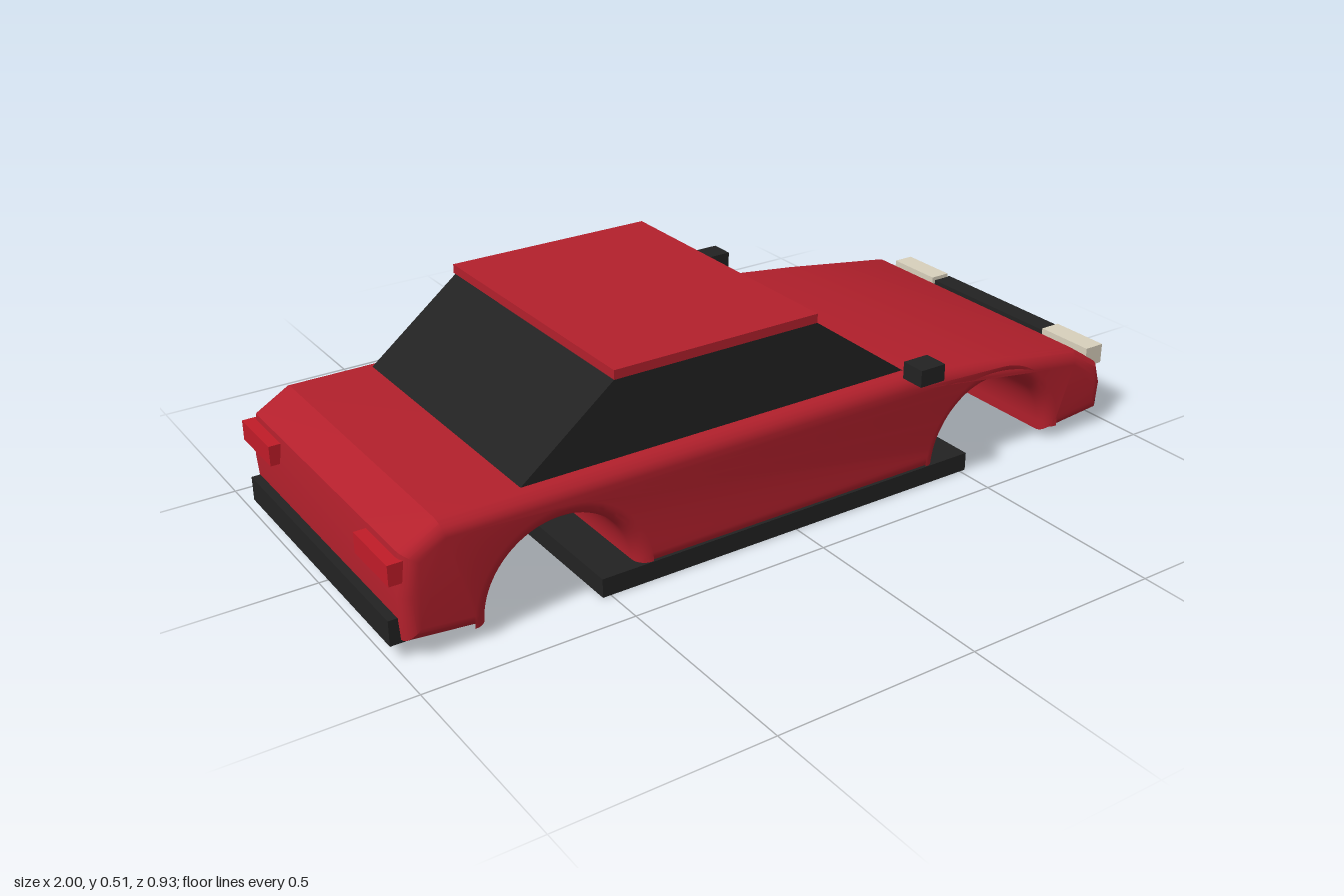
import * as THREE from 'three';
import { toCreasedNormals } from 'three/addons/utils/BufferGeometryUtils.js';

const mat = (name, color) => {
  const m = new THREE.MeshStandardMaterial({ color });
  m.name = name;
  return m;
};

export function createModel() {
  const red = mat('red paint', 0xb3202c);
  const tailRed = mat('tail light red', 0xc01c28);
  const black = mat('black trim', 0x222222);
  const cream = mat('headlight cream', 0xd8d0bc);
  const car = new THREE.Group();
  car.name = 'car';

  const add = (name, geometry, material) => {
    const mesh = new THREE.Mesh(geometry, material);
    mesh.name = name;
    car.add(mesh);
    return mesh;
  };
  // Box given by its limits on each axis
  const box = (name, material, [x0, x1], [y0, y1], [z0, z1]) =>
    add(name, new THREE.BoxGeometry(x1 - x0, y1 - y0, z1 - z0), material)
      .position.set((x0 + x1) / 2, (y0 + y1) / 2, (z0 + z1) / 2);

  // Body: side profile with wheel arches, rounded along both flanks
  const profile = new THREE.Shape();
  profile.moveTo(-0.975, 0.045);
  profile.lineTo(-0.79, 0.027);
  profile.absarc(-0.607, 0.033, 0.183, Math.PI, 0, true);
  profile.absarc(0.604, 0.033, 0.183, Math.PI, 0, true);
  profile.lineTo(0.788, 0.02);
  profile.lineTo(0.975, 0.037);
  profile.lineTo(0.982, 0.115);
  profile.lineTo(0.965, 0.17);
  profile.lineTo(0.88, 0.225);
  profile.lineTo(0.56, 0.272);
  profile.lineTo(0.33, 0.3);
  profile.lineTo(-0.885, 0.3);
  profile.lineTo(-0.97, 0.25);
  profile.lineTo(-0.982, 0.15);
  profile.closePath();
  const bevel = 0.035;
  const bodyGeo = new THREE.ExtrudeGeometry(profile, {
    depth: 0.8 - 2 * bevel, curveSegments: 24,
    bevelThickness: bevel, bevelSize: bevel, bevelOffset: -bevel, bevelSegments: 5,
  });
  bodyGeo.translate(0, 0, -0.4 + bevel);
  add('body', toCreasedNormals(bodyGeo, 0.45), red);

  // Glasshouse and roof
  const cabin = new THREE.Shape([
    [-0.69, 0.295], [0.34, 0.295], [0.07, 0.487], [-0.45, 0.487],
  ].map(([x, y]) => new THREE.Vector2(x, y)));
  const cabinGeo = new THREE.ExtrudeGeometry(cabin, { depth: 0.716, bevelEnabled: false });
  cabinGeo.translate(0, 0, -0.358);
  add('windows', cabinGeo, black);
  box('roof', red, [-0.457, 0.073], [0.485, 0.507], [-0.362, 0.362]);

  // Underside, grille and bumpers
  box('floorPlate', black, [-0.52, 0.516], [0, 0.046], [-0.4, 0.4]);
  box('grille', black, [0.945, 1], [0.131, 0.198], [-0.217, 0.217]);
  box('frontBumper', black, [0.95, 0.993], [0.037, 0.097], [-0.367, 0.367]);
  box('rearBumper', black, [-1, -0.95], [0.038, 0.098], [-0.367, 0.367]);

  // Lamps and mirrors on both sides
  for (const [side, s] of [['left', 1], ['right', -1]]) {
    const zs = (a, b) => (s > 0 ? [a, b] : [-b, -a]);
    box(side + 'Headlight', cream, [0.936, 0.991], [0.157, 0.208], zs(0.215, 0.373));
    box(side + 'TailLight', tailRed, [-1, -0.95], [0.187, 0.236], zs(0.226, 0.386));
    box(side + 'Mirror', black, [0.3, 0.37], [0.304, 0.346], zs(0.4, 0.463));
  }
  return car;
}
